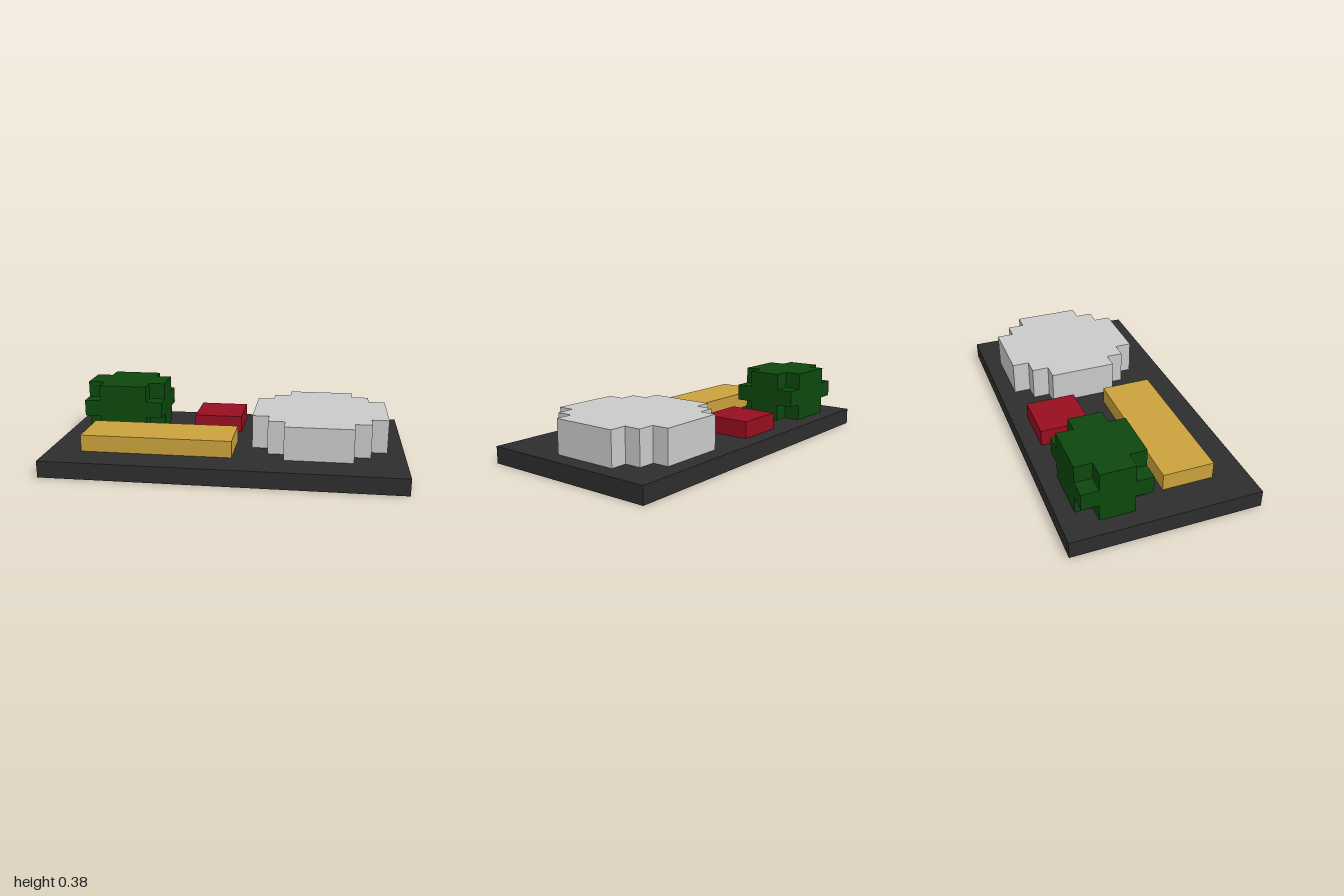
import * as THREE from 'three';

// One block of the grid; the base is 21 x 11 blocks
const U = 2 / 21;
const X0 = -10.5, Z0 = -5.5;

const material = (name, color) => {
  const m = new THREE.MeshStandardMaterial({ color });
  m.name = name;
  return m;
};

// Box spanning grid columns i0..i1, rows j0..j1 and layers k0..k1
function block(name, mat, [i0, i1], [j0, j1], [k0, k1]) {
  const geo = new THREE.BoxGeometry((i1 - i0) * U, (k1 - k0) * U, (j1 - j0) * U);
  const mesh = new THREE.Mesh(geo, mat);
  mesh.position.set((X0 + (i0 + i1) / 2) * U, (k0 + k1) / 2 * U, (Z0 + (j0 + j1) / 2) * U);
  mesh.name = name;
  return mesh;
}

// Slab with stepped corners: the cut list gives the inset of each successive row
function steppedSlab(name, mat, [i0, i1], [j0, j1], [k0, k1], cuts) {
  const hw = (i1 - i0) / 2, hd = (j1 - j0) / 2;
  const corner = [];
  cuts.forEach((cut, row) => {
    const next = cuts[row + 1] ?? 0;
    corner.push([hw - cut, hd - row], [hw - cut, hd - row - 1]);
    if (next === 0) corner.push([hw, hd - row - 1]);
  });
  const flip = (sx, sy) => corner.map(([x, y]) => [x * sx, y * sy]);
  const outline = [
    ...corner, ...flip(1, -1).reverse(), ...flip(-1, -1), ...flip(-1, 1).reverse(),
  ].map(([x, y]) => new THREE.Vector2(x * U, y * U));
  const geo = new THREE.ExtrudeGeometry(new THREE.Shape(outline), {
    depth: (k1 - k0) * U, bevelEnabled: false,
  });
  geo.rotateX(-Math.PI / 2);
  const mesh = new THREE.Mesh(geo, mat);
  mesh.position.set((X0 + (i0 + i1) / 2) * U, k0 * U, (Z0 + (j0 + j1) / 2) * U);
  mesh.name = name;
  return mesh;
}

export function createModel() {
  const model = new THREE.Group();
  model.name = 'blockTray';
  const charcoal = material('charcoal', 0x2d2d2d);
  const green = material('dark green', 0x0d470d);
  const gold = material('gold', 0xc9a13c);
  const red = material('crimson', 0x960e20);
  const white = material('light grey', 0xc9c9c9);

  // Tray and the two low slabs
  model.add(block('tray', charcoal, [0, 21], [0, 11], [0, 1]));
  model.add(block('goldBar', gold, [2, 11], [6, 9], [1, 2]));
  model.add(block('redBlock', red, [8, 11], [1, 4], [1, 2]));

  // Rounded plate, two layers high
  model.add(steppedSlab('plate', white, [12, 20], [1, 9], [1, 3], [2, 1]));

  // Leafy clump: full middle layer, corners missing above and below
  const clump = new THREE.Group();
  clump.name = 'greenClump';
  clump.add(steppedSlab('clumpBottom', green, [1, 6], [1, 5], [1, 2], [1]));
  clump.add(block('clumpMiddle', green, [1, 6], [1, 5], [2, 3]));
  clump.add(steppedSlab('clumpTop', green, [1, 6], [1, 5], [3, 4], [1]));
  model.add(clump);

  return model;
}
